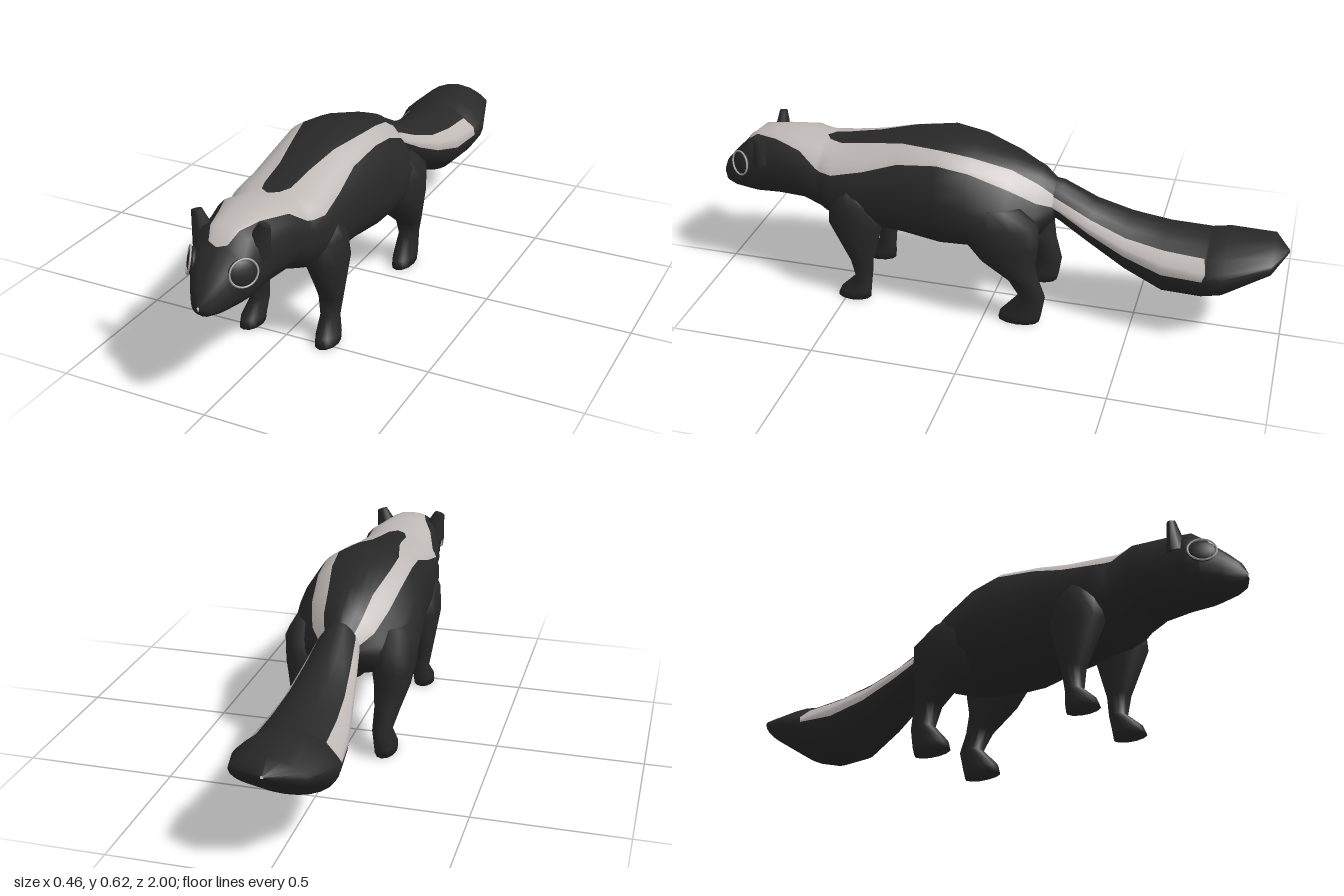
import * as THREE from 'three';
import { mergeVertices } from 'three/addons/utils/BufferGeometryUtils.js';

const mat = (name, color) => new THREE.MeshStandardMaterial({ name, color });

// Skin closed rings of points; colourOf(ring step) picks the material group.
function skin(rings, colourOf = () => 0) {
  const n = rings[0].length;
  const lists = [[], []];
  for (let i = 0; i < rings.length - 1; i++) {
    for (let k = 0; k < n; k++) {
      const a = i * n + k, b = i * n + (k + 1) % n;
      lists[colourOf(k)].push(a, b, a + n, b, b + n, a + n);
    }
  }
  let geo = new THREE.BufferGeometry();
  geo.setAttribute('position', new THREE.Float32BufferAttribute(rings.flat(2), 3));
  geo.setIndex([...lists[0], ...lists[1]]);
  geo.addGroup(0, lists[0].length, 0);
  if (lists[1].length) geo.addGroup(lists[0].length, lists[1].length, 1);
  geo = mergeVertices(geo, 1e-5);
  geo.computeVertexNormals();
  return geo;
}

const spow = (v, p) => Math.sign(v) * Math.abs(v) ** p;
const BANDS = [3, 4, 8]; // steps over the dark back, pale stripe and dark flank

// Section: z, top, bottom, half width, height of widest point,
// stripe start and end in degrees from the top, peak (above 1 slopes the back like a roof)
function furRing([z, top, bottom, w, mid, a1, a2, ownPeak], basePeak) {
  const peak = ownPeak ?? basePeak;
  const stops = [0, a1, a2, 180], half = [];
  BANDS.forEach((steps, b) => {
    for (let s = 0; s < steps; s++) half.push(stops[b] + (stops[b + 1] - stops[b]) * s / steps);
  });
  const angles = [...half, 180, ...half.slice(1).reverse().map(a => 360 - a)];
  return angles.map(deg => {
    const t = deg * Math.PI / 180, c = Math.cos(t);
    const y = c > 0 ? (top - mid) * spow(c, peak) : (mid - bottom) * spow(c, 0.85);
    return [w * spow(Math.sin(t), Math.min(1, peak)), mid + y, z];
  });
}

function furLoft(sections, basePeak) {
  const count = BANDS[0] + BANDS[1] + BANDS[2];
  return skin(sections.map(s => furRing(s, basePeak)), k => {
    const h = k < count ? k : 2 * count - 1 - k;
    return h >= BANDS[0] && h < BANDS[0] + BANDS[1] ? 1 : 0;
  });
}

// Leg section: y, x, z, half width, half depth
function legLoft(sections, side) {
  const first = sections[0], last = sections[sections.length - 1];
  const closed = [[...first.slice(0, 3), 0, 0], ...sections, [...last.slice(0, 3), 0, 0]];
  return skin(closed.map(([y, x, z, rx, rz]) => Array.from({ length: 12 }, (_, k) => {
    const t = k / 12 * Math.PI * 2;
    return [side * x + rx * Math.cos(t), y, z + rz * Math.sin(t)];
  })));
}

const BODY = [
  [1.0, 0.365, 0.35, 0.004, 0.36, 0, 0],
  [0.98, 0.41, 0.325, 0.036, 0.36, 0, 0],
  [0.94, 0.455, 0.315, 0.064, 0.38, 0, 0],
  [0.89, 0.504, 0.314, 0.094, 0.41, 0, 0],
  [0.88, 0.515, 0.314, 0.1, 0.42, 0, 15],
  [0.84, 0.55, 0.315, 0.115, 0.43, 0, 21],
  [0.76, 0.56, 0.32, 0.12, 0.44, 0, 32],
  [0.66, 0.56, 0.325, 0.148, 0.45, 0, 45],
  [0.595, 0.55, 0.3, 0.148, 0.42, 0, 64],
  [0.575, 0.55, 0.288, 0.158, 0.42, 8, 66],
  [0.53, 0.55, 0.27, 0.175, 0.42, 12, 66],
  [0.42, 0.57, 0.255, 0.18, 0.41, 14, 57],
  [0.3, 0.6, 0.248, 0.187, 0.41, 20, 48],
  [0.16, 0.62, 0.23, 0.205, 0.41, 28, 46],
  [0.05, 0.607, 0.238, 0.222, 0.4, 27, 43, 1.1],
  [-0.08, 0.565, 0.255, 0.205, 0.39, 22, 41, 1.8],
  [-0.17, 0.527, 0.29, 0.145, 0.38, 27, 47, 2.2],
  [-0.23, 0.48, 0.37, 0.06, 0.41, 50, 90, 1.8],
];

const TAIL = [
  [-0.16, 0.5, 0.39, 0.055, 0.43, 45, 90],
  [-0.24, 0.487, 0.345, 0.075, 0.41, 54, 92],
  [-0.35, 0.43, 0.275, 0.095, 0.36, 52, 97],
  [-0.47, 0.395, 0.2, 0.115, 0.31, 51, 97],
  [-0.6, 0.37, 0.14, 0.14, 0.28, 46, 97],
  [-0.735, 0.364, 0.148, 0.156, 0.268, 44, 92],
  [-0.745, 0.366, 0.152, 0.158, 0.268, 68, 68],
  [-0.8, 0.375, 0.17, 0.165, 0.28, 68, 68],
  [-0.95, 0.37, 0.27, 0.12, 0.32, 68, 68],
  [-1.0, 0.335, 0.325, 0.005, 0.33, 68, 68],
];

const FRONT_LEG = [
  [0.43, 0.13, 0.47, 0.045, 0.05], [0.38, 0.13, 0.465, 0.063, 0.088],
  [0.3, 0.133, 0.46, 0.066, 0.098], [0.15, 0.135, 0.443, 0.04, 0.04],
  [0.08, 0.13, 0.44, 0.033, 0.03], [0.03, 0.138, 0.468, 0.038, 0.055],
  [0, 0.139, 0.476, 0.037, 0.06],
];

const HIND_LEG = [
  [0.44, 0.147, -0.035, 0.05, 0.09], [0.385, 0.15, -0.04, 0.079, 0.15],
  [0.3, 0.15, -0.065, 0.073, 0.125], [0.24, 0.15, -0.085, 0.062, 0.095],
  [0.17, 0.145, -0.138, 0.045, 0.052], [0.1, 0.135, -0.167, 0.034, 0.046],
  [0.03, 0.139, -0.13, 0.038, 0.072], [0, 0.139, -0.122, 0.037, 0.072],
];

export function createModel() {
  const dark = mat('dark fur', 0x282828);
  const pale = mat('pale fur', 0xbfb9b6);
  const rim = mat('eye rim grey', 0xa8a4a2);
  const model = new THREE.Group();
  model.name = 'skunk';
  const add = (name, geo, material, parent = model) => {
    const mesh = new THREE.Mesh(geo, material);
    mesh.name = name;
    parent.add(mesh);
    return mesh;
  };

  add('headAndBody', furLoft(BODY, 0.85), [dark, pale]);
  add('tail', furLoft(TAIL, 1.7), [dark, pale]);

  for (const side of [1, -1]) {
    const label = side > 0 ? 'left' : 'right';
    add(label + 'FrontLeg', legLoft(FRONT_LEG, side), dark);
    add(label + 'HindLeg', legLoft(HIND_LEG, side), dark);

    // Ear: flattened blunt cone leaning outward
    const ear = add(label + 'Ear', new THREE.CylinderGeometry(0.019, 0.05, 0.1, 8), dark);
    ear.scale.z = 0.65;
    ear.position.set(side * 0.1, 0.517, 0.808);
    ear.rotation.z = -side * 0.3;

    // Eye: shallow dark dome with a thin rim, facing out and forward
    const eye = new THREE.Group();
    eye.name = label + 'Eye';
    eye.position.set(side * 0.084, 0.443, 0.89);
    eye.lookAt(side * (0.084 + 0.83), 0.443 + 0.2, 0.89 + 0.55);
    const dome = add('eyeDome', new THREE.SphereGeometry(0.046, 20, 10), dark, eye);
    dome.scale.set(1, 0.9, 0.33);
    const ring = add('eyeRim', new THREE.TorusGeometry(0.045, 0.0032, 6, 28), rim, eye);
    ring.scale.y = 0.92;
    ring.position.z = 0.01;
    model.add(eye);
  }
  return model;
}
